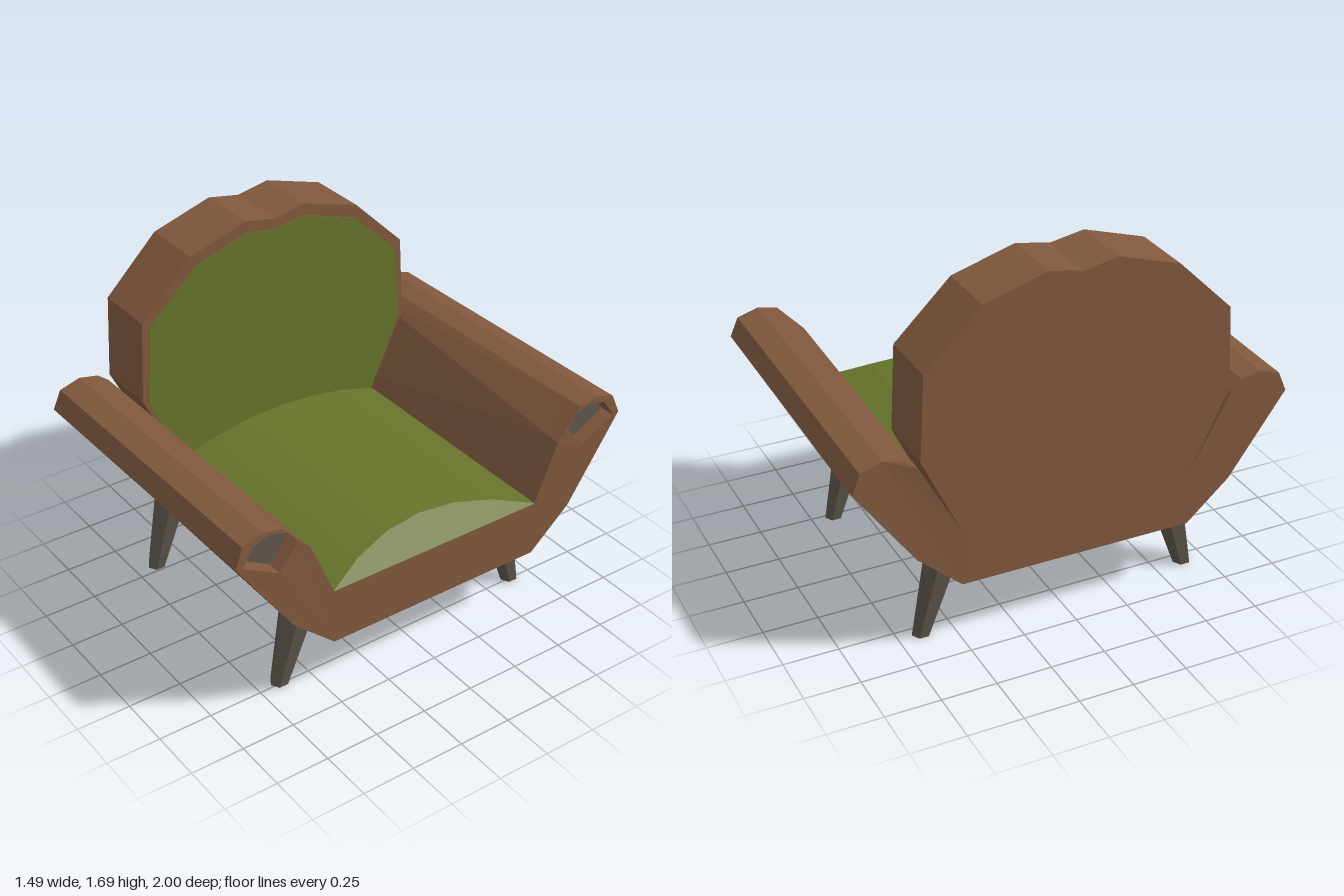
import * as THREE from 'three';

const brown = new THREE.MeshStandardMaterial({ color: 0x80583d, flatShading: true });
const green = new THREE.MeshStandardMaterial({ color: 0x66732a, flatShading: true, side: THREE.DoubleSide });
const grey = new THREE.MeshStandardMaterial({ color: 0x5c544a, flatShading: true });

const FRONT = 0.745, BACK_FACE = -0.45, RECESS = 0.08;

// Closed shape from half an outline of [z, y] points, mirrored across z = 0
function mirrored(half) {
  const other = half.filter(([z]) => z > 0).reverse().map(([z, y]) => [-z, y]);
  return new THREE.Shape([...half, ...other].map(([z, y]) => new THREE.Vector2(z, y)));
}

// Extrude a cross-section along x, from x0 to x1
function alongX(shape, x0, x1) {
  const g = new THREE.ExtrudeGeometry(shape, { depth: x1 - x0, bevelEnabled: false });
  return g.rotateY(Math.PI / 2).translate(x0, 0, 0);
}

// Arms drop and open slightly towards the back, and their ends lean in
function taper(g) {
  const p = g.attributes.position;
  for (let i = 0; i < p.count; i++) {
    const x = p.getX(i), y = p.getY(i), z = p.getZ(i);
    const t = (FRONT - x) / (2 * FRONT);
    if (y < 0.8) continue;
    const inner = Math.abs(z) < 0.7;
    p.setXYZ(i, x * (1 - 0.08 * Math.max(0, y - 0.85)),
      y + (inner ? 0.07 : -0.02) * t, z + (inner ? 0.07 * Math.sign(z) * t : 0));
  }
  g.computeVertexNormals();
  return g;
}

export function createModel() {
  const group = new THREE.Group();
  const add = (name, geometry, material) => {
    const mesh = new THREE.Mesh(geometry, material);
    mesh.name = name;
    group.add(mesh);
    return mesh;
  };

  // Body: base and rolled arms in one cross-section
  const bodyHalf = [[0.535, 0.342], [0.735, 0.52], [1, 0.91], [0.963, 1], [0.866, 1.03],
    [0.775, 1.01], [0.65, 0.875], [0.535, 0.604]];
  add('body', taper(alongX(mirrored(bodyHalf), -FRONT, FRONT - RECESS)), brown);

  // Front of the body with a recess in each arm roll
  const recess = [[0.968, 0.905], [0.914, 0.985], [0.834, 1.01], [0.754, 0.985], [0.706, 0.92], [0.8, 0.813]];
  const frontShape = mirrored(bodyHalf);
  for (const side of [1, -1]) {
    const pts = recess.map(([z, y]) => new THREE.Vector2(side * z, y));
    frontShape.holes.push(new THREE.Path(pts));
    add('armEndPanel', taper(alongX(new THREE.Shape(pts), FRONT - RECESS - 0.01, FRONT - RECESS + 0.006)), grey);
  }
  add('bodyFront', taper(alongX(frontShape, FRONT - RECESS, FRONT)), brown);

  // Scalloped backrest and its upholstered panel
  const backHalf = [[0.535, 0.604], [0.71, 0.97], [0.69, 1.353], [0.438, 1.6], [0.155, 1.686], [0, 1.657]];
  add('backrest', alongX(mirrored(backHalf), -FRONT, BACK_FACE), brown);
  const panelHalf = [[0.53, 0.604], [0.683, 0.96], [0.655, 1.325], [0.42, 1.543], [0.15, 1.631], [0, 1.607]];
  add('backPanel', alongX(mirrored(panelHalf), BACK_FACE - 0.01, BACK_FACE + 0.004), green);

  // Domed seat cushion: rows run back, crest, front lip
  const seat = new THREE.PlaneGeometry(1, 1, 6, 2);
  const p = seat.attributes.position;
  for (let i = 0; i < p.count; i++) {
    const z = p.getX(i) * 1.08, row = Math.round((0.5 - p.getY(i)) * 2);
    const bulge = 1 - (z / 0.54) ** 2;
    const x = [BACK_FACE, FRONT - 0.135 * bulge, FRONT][row];
    p.setXYZ(i, x, 0.605 + (row < 2 ? 0.093 * bulge : 0), -z);
  }
  seat.computeVertexNormals();
  add('seatCushion', seat, green);

  // Splayed, tapered six-sided legs
  const legHeight = 0.46;
  for (const x of [-0.545, 0.485]) {
    for (const side of [1, -1]) {
      const g = new THREE.CylinderGeometry(0.092, 0.0425, legHeight, 6).translate(0, legHeight / 2, 0);
      const shear = new THREE.Matrix4().set(1, 0, 0, x, 0, 1, 0, 0, 0, -0.27 * side, 1, 0.643 * side, 0, 0, 0, 1);
      add('leg', g.applyMatrix4(shear), grey);
    }
  }
  return group;
}
